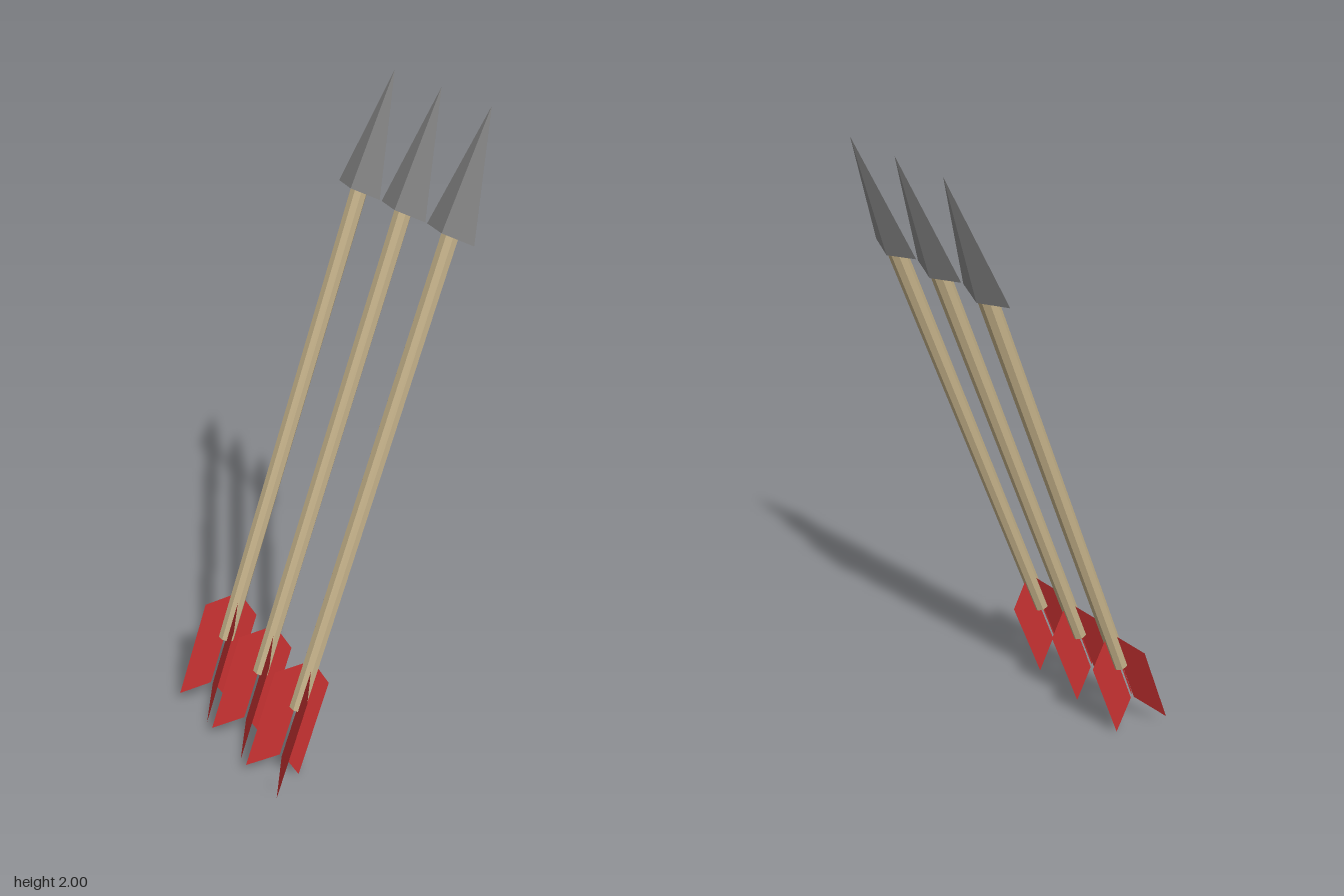
import * as THREE from 'three';

const TILT = THREE.MathUtils.degToRad(20);
const HEAD = 0.344;       // head length
const SHAFT_END = 1.83;   // distance from tip to the tail end of the shaft

const paint = (color, side = THREE.FrontSide) =>
  new THREE.MeshStandardMaterial({ color, flatShading: true, side });

export function createModel() {
  const wood = paint(0xc4b189);
  const steel = paint(0x888888);
  const feather = paint(0xc83232, THREE.DoubleSide);

  // Four-sided head, flattened to a diamond section, tip at the origin
  const headGeo = new THREE.ConeGeometry(1, HEAD, 4);
  headGeo.scale(0.032, 1, 0.096).translate(0, -HEAD / 2, 0);

  // Octagonal shaft with flats facing the axes
  const shaftLength = SHAFT_END - HEAD;
  const shaftGeo = new THREE.CylinderGeometry(0.0254, 0.0254, shaftLength, 8);
  shaftGeo.rotateY(Math.PI / 8).translate(0, -HEAD - shaftLength / 2, 0);

  // Swept-back parallelogram feather, trailing past the shaft
  const finGeo = new THREE.ShapeGeometry(new THREE.Shape([
    new THREE.Vector2(0.006, -1.67),
    new THREE.Vector2(0.006, -2.004),
    new THREE.Vector2(0.098, -2.092),
    new THREE.Vector2(0.098, -1.756),
  ]));

  function arrow() {
    const group = new THREE.Group();
    group.name = 'arrow';
    const add = (name, geometry, material) => {
      const mesh = new THREE.Mesh(geometry, material);
      mesh.name = name;
      group.add(mesh);
      return mesh;
    };
    add('arrowhead', headGeo, steel);
    add('shaft', shaftGeo, wood);
    for (let i = 0; i < 3; i++) {
      const fin = add('feather', finGeo, feather);
      fin.rotation.y = (i * Math.PI * 2) / 3;
      fin.position.z = -0.002;
    }
    return group;
  }

  // Three parallel arrows leaning toward +x
  const model = new THREE.Group();
  model.name = 'arrows';
  for (const z of [-0.201, 0, 0.2]) {
    const a = arrow();
    a.position.set(0.38, 2, z);
    a.rotation.z = -TILT;
    model.add(a);
  }
  return model;
}
